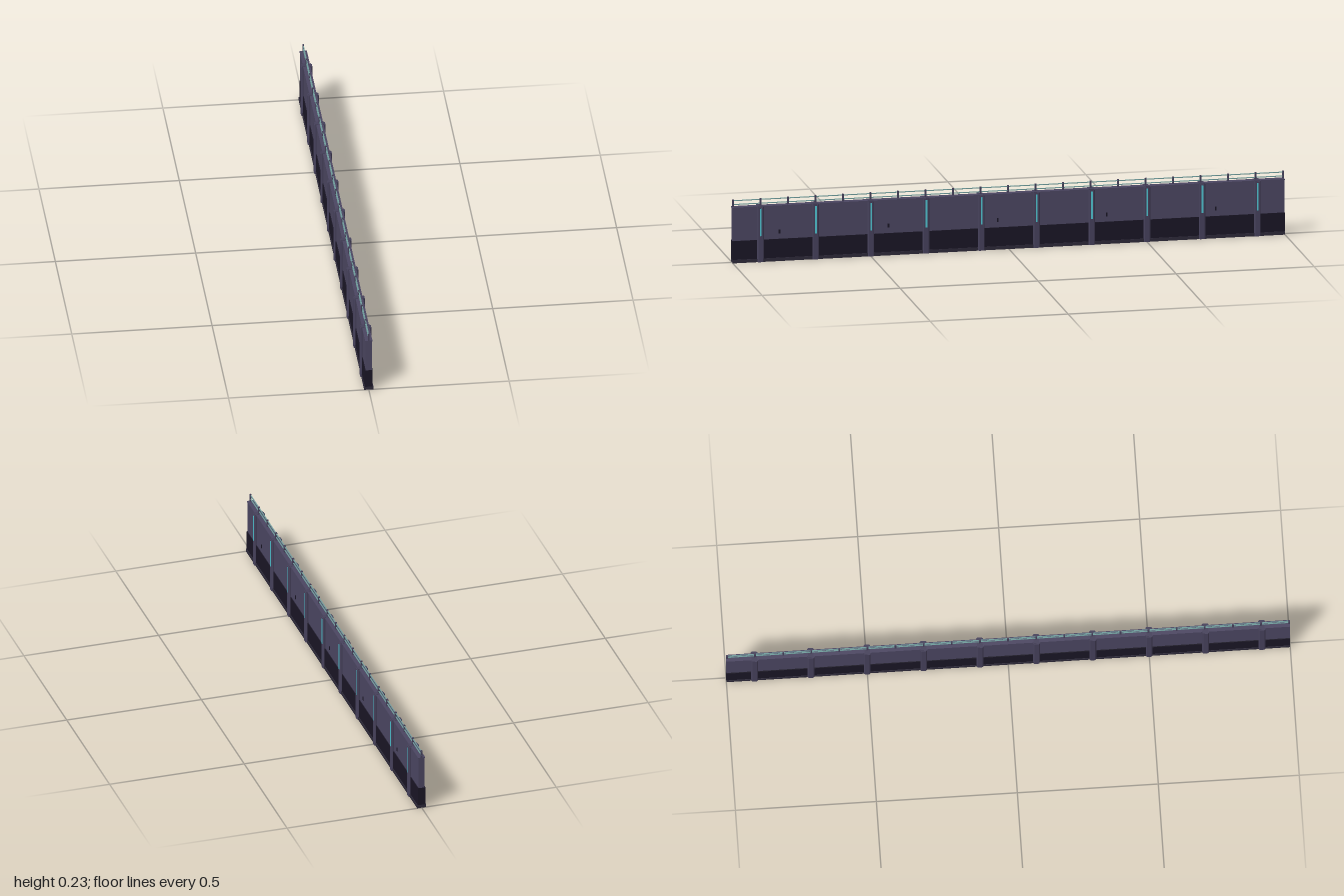
import * as THREE from 'three';

const mat = (color) => new THREE.MeshStandardMaterial({ color, flatShading: true });
const wallMat = mat(0x4a4560), baseMat = mat(0x191524), postMat = mat(0x45405a);
const trimMat = mat(0x2c2838), glowMat = mat(0x4fc3d0), railMat = mat(0x6f9c9c);

export function createModel() {
  const model = new THREE.Group();
  model.name = 'barrierWall';

  const box = (name, material, [w, h, d], [x, y, z], parent = model) => {
    const mesh = new THREE.Mesh(new THREE.BoxGeometry(w, h, d), material);
    mesh.name = name;
    mesh.position.set(x, y + h / 2, z); // y is the underside
    parent.add(mesh);
    return mesh;
  };

  // Long wall: plinth, dark base band, upper panel and coping
  box('plinth', trimMat, [0.033, 0.012, 2], [0, 0, 0]);
  box('baseBand', baseMat, [0.028, 0.068, 2], [0, 0.012, 0]);
  box('wallPanel', wallMat, [0.022, 0.118, 2], [0, 0.08, 0]);
  box('coping', wallMat, [0.026, 0.004, 2], [0, 0.198, 0]);

  // Chamfered pilasters, each with a light strip on the left face
  const plan = new THREE.Shape([
    [-0.02, -0.008], [-0.016, -0.012], [0.016, -0.012], [0.02, -0.008],
    [0.02, 0.008], [0.016, 0.012], [-0.016, 0.012], [-0.02, 0.008],
  ].map(([x, y]) => new THREE.Vector2(x, y)));
  const pilasterGeo = new THREE.ExtrudeGeometry(plan, { depth: 0.2, bevelEnabled: false });
  pilasterGeo.rotateX(-Math.PI / 2);
  for (let i = 0; i < 10; i++) {
    const bay = new THREE.Group();
    bay.name = 'pilaster';
    bay.position.z = -0.9 + i * 0.2;
    const shaft = new THREE.Mesh(pilasterGeo, postMat);
    shaft.name = 'pilasterShaft';
    bay.add(shaft);
    box('pilasterCap', postMat, [0.034, 0.003, 0.02], [0, 0.2, 0], bay);
    box('lightStrip', glowMat, [0.001, 0.1, 0.006], [0.0202, 0.095, 0], bay);
    model.add(bay);
  }

  // Small vents on the left side, one in every second bay
  for (let i = 0; i < 5; i++) {
    box('vent', baseMat, [0.003, 0.014, 0.006], [0.0115, 0.1, 0.83 - i * 0.395]);
  }

  // Railing along the top
  for (let i = 0; i <= 20; i++) {
    box('railPost', postMat, [0.006, 0.028, 0.006], [0, 0.201, -0.997 + i * 0.0997]);
  }
  for (const y of [0.209, 0.223]) {
    box('rail', railMat, [0.003, 0.003, 2], [0, y, 0]);
  }

  return model;
}
